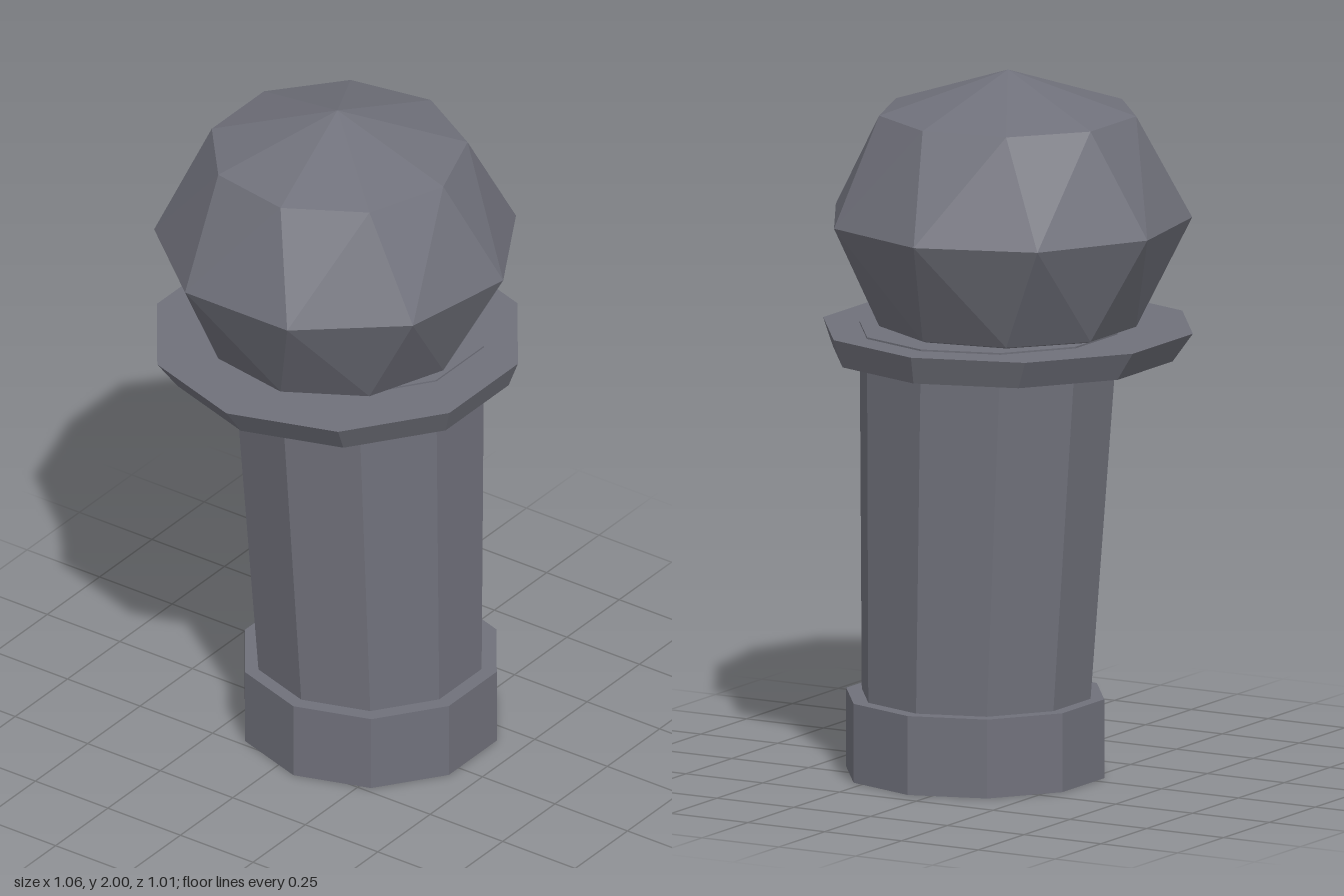
import * as THREE from 'three';
import { ConvexGeometry } from 'three/addons/geometries/ConvexGeometry.js';

const stone = new THREE.MeshStandardMaterial({ color: 0x70717b, flatShading: true });
stone.name = 'slateStone';

// Ten-sided drum between two rings { y, r, x, z }; the rings may be offset from each other.
function drum(name, bottom, top) {
  const height = top.y - bottom.y;
  const geometry = new THREE.CylinderGeometry(top.r, bottom.r, height, 10, 1, false, Math.PI / 2);
  const pos = geometry.attributes.position;
  for (let i = 0; i < pos.count; i++) {
    const ring = pos.getY(i) > 0 ? top : bottom;
    pos.setXYZ(i, pos.getX(i) + ring.x, ring.y, pos.getZ(i) + ring.z);
  }
  geometry.computeVertexNormals();
  const mesh = new THREE.Mesh(geometry, stone);
  mesh.name = name;
  return mesh;
}

// Faceted ball: three nine-sided rings, the outer two turned ten degrees, closed by two tips.
function ball() {
  const points = [new THREE.Vector3(0, 2, 0), new THREE.Vector3(0, 1.16, 0)];
  const rings = [[1.28, 0.365, 10], [1.58, 0.515, 0], [1.88, 0.365, 10]];
  for (const [y, r, turn] of rings) {
    for (let i = 0; i < 9; i++) {
      const a = THREE.MathUtils.degToRad(i * 40 + turn);
      points.push(new THREE.Vector3(r * Math.cos(a), y, r * Math.sin(a)));
    }
  }
  const mesh = new THREE.Mesh(new ConvexGeometry(points), stone);
  mesh.name = 'ball';
  return mesh;
}

export function createModel() {
  const model = new THREE.Group();
  model.name = 'bollard';
  model.add(
    drum('base', { y: 0, r: 0.37, x: 0.068, z: 0.066 }, { y: 0.225, r: 0.37, x: 0.068, z: 0.066 }),
    // The column leans slightly backward and widens upward
    drum('column', { y: 0.2, r: 0.327, x: 0.068, z: 0.064 }, { y: 1.275, r: 0.37, x: 0.067, z: 0.023 }),
    drum('collar', { y: 1.19, r: 0.487, x: 0.012, z: 0.01 }, { y: 1.27, r: 0.53, x: 0, z: 0 }),
    ball()
  );
  return model;
}
